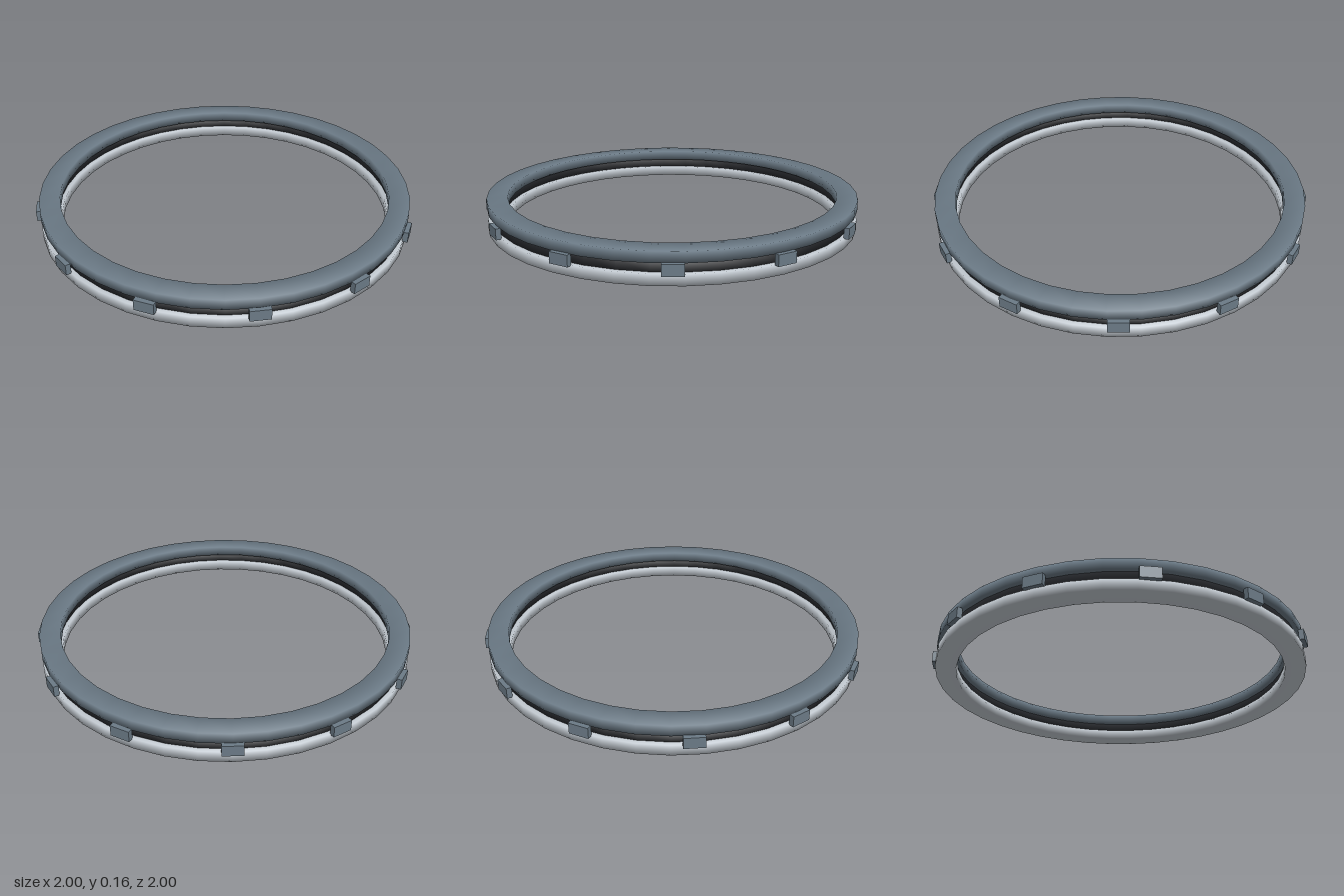
import * as THREE from 'three';
import { mergeVertices } from 'three/addons/utils/BufferGeometryUtils.js';

const SEGMENTS = 40;

const slate = new THREE.MeshStandardMaterial({ color: 0x6b7a86 });
slate.name = 'slate';
const silver = new THREE.MeshStandardMaterial({ color: 0xc0c7ce });
silver.name = 'silver';
const black = new THREE.MeshStandardMaterial({ color: 0x24262a });
black.name = 'black';

// Rectangular ring with soft normals running around its corners
function ring(name, inner, outer, y0, y1, material) {
  const profile = [[inner, y0], [outer, y0], [outer, y1], [inner, y1], [inner, y0]]
    .map(([r, y]) => new THREE.Vector2(r, y));
  let geometry = new THREE.LatheGeometry(profile, SEGMENTS);
  geometry.deleteAttribute('uv');
  geometry.deleteAttribute('normal');
  geometry = mergeVertices(geometry, 1e-4);
  geometry.computeVertexNormals();
  const mesh = new THREE.Mesh(geometry, material);
  mesh.name = name;
  return mesh;
}

export function createModel() {
  const model = new THREE.Group();
  model.name = 'ringAssembly';

  // Two broad rings with a recessed dark core between them
  model.add(ring('lowerRing', 0.873, 0.98, 0, 0.055, silver));
  model.add(ring('coreRing', 0.895, 0.957, 0.05, 0.108, black));
  model.add(ring('upperRing', 0.873, 0.98, 0.104, 0.158, slate));

  // Twelve small blocks around the rim
  const blocks = new THREE.Group();
  blocks.name = 'rimBlocks';
  const blockGeometry = new THREE.BoxGeometry(0.1, 0.056, 0.027);
  for (let i = 0; i < 12; i++) {
    const angle = (i / 12) * Math.PI * 2;
    const block = new THREE.Mesh(blockGeometry, slate);
    block.name = 'rimBlock';
    block.position.set(Math.sin(angle) * 0.9865, 0.079, Math.cos(angle) * 0.9865);
    block.rotation.y = angle;
    blocks.add(block);
  }
  model.add(blocks);
  return model;
}
